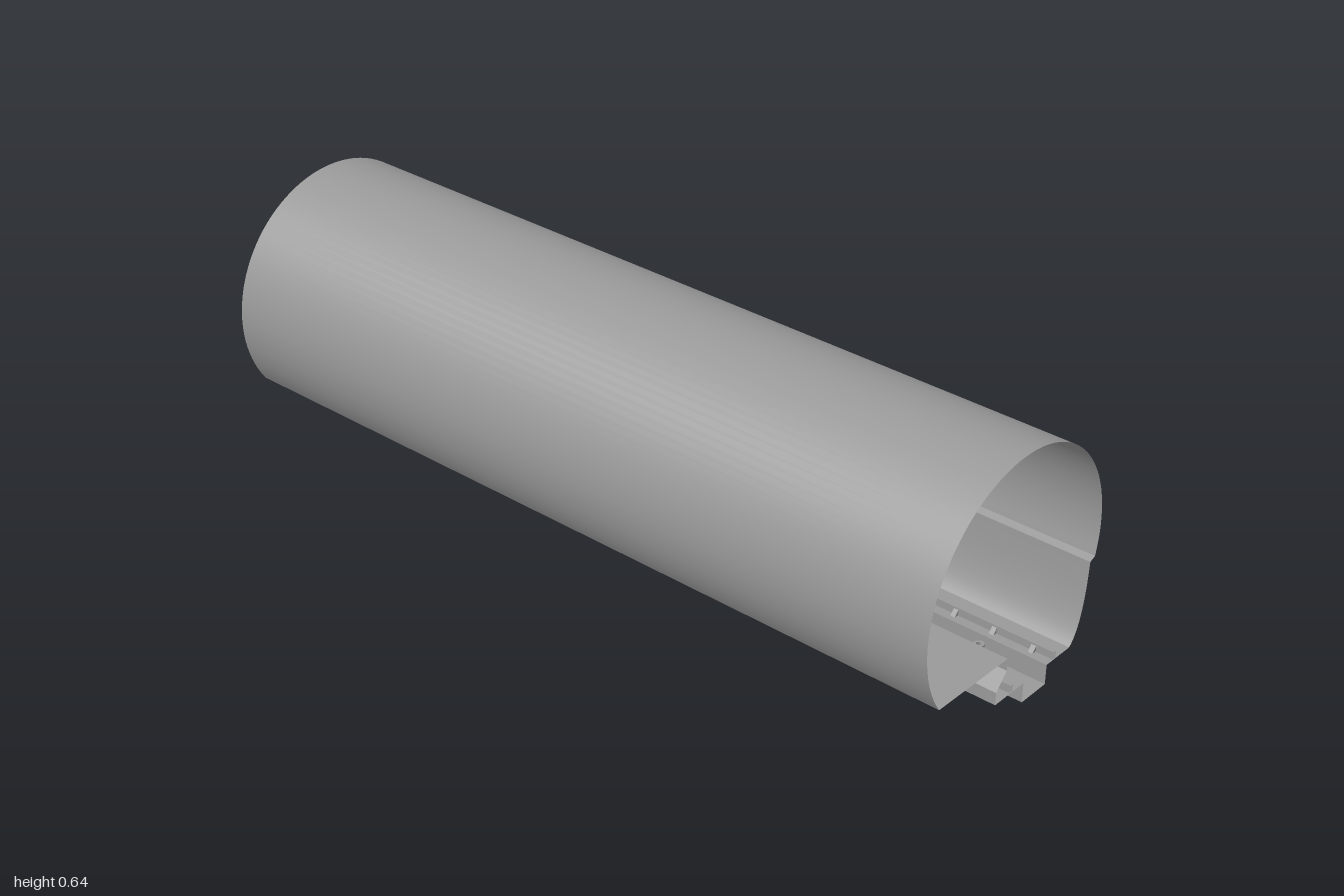
import * as THREE from 'three';
import { toCreasedNormals } from 'three/addons/utils/BufferGeometryUtils.js';

const LENGTH = 2;
const FLOOR = 0.059;
const grey = new THREE.MeshStandardMaterial({ color: 0x999999, side: THREE.DoubleSide });

// Thin sheet: a cross-section polyline [x, y] swept along z, open at both ends
function sheet(name, points) {
  const pos = [], index = [];
  points.forEach(([x, y], i) => {
    pos.push(x, y, LENGTH / 2, x, y, -LENGTH / 2);
    if (i) {
      const a = 2 * i - 2;
      index.push(a, a + 1, a + 2, a + 1, a + 3, a + 2);
    }
  });
  const geo = new THREE.BufferGeometry();
  geo.setAttribute('position', new THREE.Float32BufferAttribute(pos, 3));
  geo.setIndex(index);
  const mesh = new THREE.Mesh(toCreasedNormals(geo, 0.5), grey);
  mesh.name = name;
  return mesh;
}

export function createModel() {
  const model = new THREE.Group();
  model.name = 'tunnel';

  // Round vault, from the ledge on the left wall over to the walkway
  const R = 0.3035, CY = 0.335, start = -0.26, end = Math.PI + 0.61, N = 64;
  const arch = [];
  for (let i = 0; i <= N; i++) {
    const a = start + (end - start) * i / N;
    arch.push([R * Math.cos(a), CY + R * Math.sin(a)]);
  }
  model.add(sheet('vault', arch));

  // Small ledge and the curved lower wall
  const curve = new THREE.CubicBezierCurve(
    new THREE.Vector2(0.277, 0.25), new THREE.Vector2(0.273, 0.17),
    new THREE.Vector2(0.263, 0.09), new THREE.Vector2(0.226, FLOOR));
  const wall = curve.getPoints(16).map(p => [p.x, p.y]);
  model.add(sheet('wallLedge', [arch[0], wall[0]]));
  model.add(sheet('lowerWall', wall));

  // Track bed with a drainage trench, and the raised walkway with undercut edge
  model.add(sheet('trackBed', [
    [0.226, FLOOR], [0.142, FLOOR], [0.142, 0.0095], [0.057, 0.0095],
    [0.057, FLOOR], [-0.045, FLOOR]]));
  model.add(sheet('walkway', [
    [-0.045, FLOOR], [-0.045, 0.09], [-0.012, 0.128], [-0.012, 0.158], arch[N]]));

  // Rails, held by pairs of wedge-shaped clips resting just above the bed
  const wedge = new THREE.Shape();
  wedge.moveTo(0.004, 0);
  wedge.lineTo(0.016, 0);
  wedge.lineTo(0.004, 0.0135);
  wedge.closePath();
  const clipGeo = new THREE.ExtrudeGeometry(wedge, { depth: 0.012, bevelEnabled: false });
  clipGeo.translate(0, 0, -0.006);
  for (const x of [0.0125, 0.17]) {
    model.add(sheet('rail', [
      [x - 0.004, FLOOR], [x - 0.004, 0.078], [x + 0.004, 0.078], [x + 0.004, FLOOR]]));
    for (let i = 0; i < 20; i++) {
      for (const turn of [0, Math.PI]) {
        const clip = new THREE.Mesh(clipGeo, grey);
        clip.name = 'railClip';
        clip.position.set(x, FLOOR + 0.001, 0.95 - i * 0.1);
        clip.rotation.y = turn;
        model.add(clip);
      }
    }
  }

  // Row of drain pipes with rolled collars, passing through the trench floor
  const profile = [
    [0.006, 0], [0.0105, 0], [0.0105, 0.052], [0.0115, 0.0525], [0.0128, 0.056],
    [0.0118, 0.06], [0.006, 0.06], [0.006, 0]].map(p => new THREE.Vector2(...p));
  const drainGeo = toCreasedNormals(new THREE.LatheGeometry(profile, 24), 0.6);
  for (let i = 0; i < 9; i++) {
    const drain = new THREE.Mesh(drainGeo, grey);
    drain.name = 'drainPipe';
    drain.position.set(0.11, 0, 0.85 - i * 0.2);
    model.add(drain);
  }
  return model;
}
